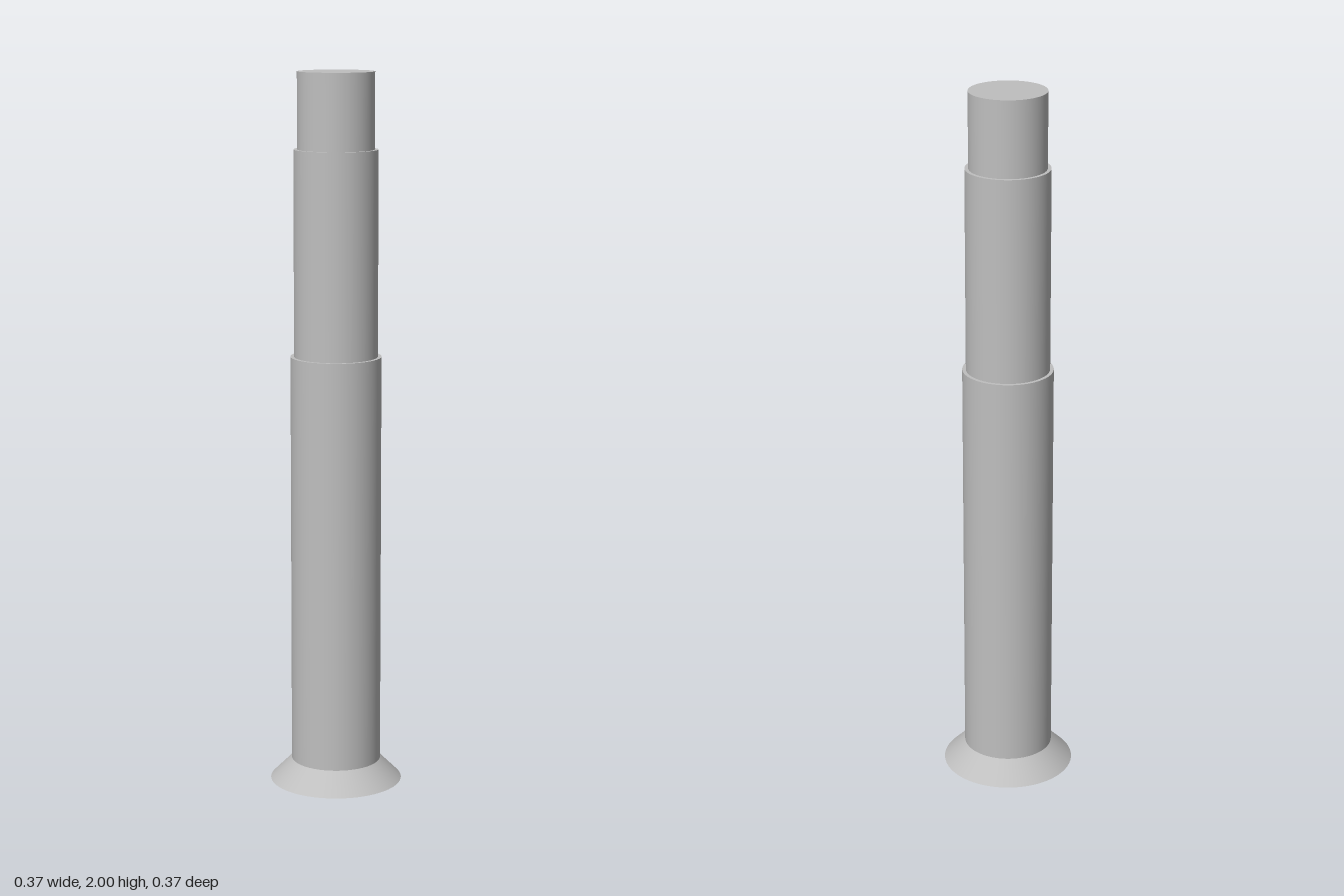
import * as THREE from 'three';

export function createModel() {
  const group = new THREE.Group();
  const steel = new THREE.MeshStandardMaterial({ color: 0xbfbfbf });
  steel.name = 'steel grey';

  const add = (name, geometry) => {
    const mesh = new THREE.Mesh(geometry, steel);
    mesh.name = name;
    group.add(mesh);
  };

  // Each straight profile segment is its own surface, so edges stay crisp
  const profile = [
    ['headCone', 0.186, 0, 0.126, 0.06],
    ['lowerShank', 0.126, 0.06, 0.126, 1.22],
    ['lowerStep', 0.126, 1.22, 0.116, 1.22],
    ['middleShank', 0.116, 1.22, 0.116, 1.79],
    ['upperStep', 0.116, 1.79, 0.106, 1.79],
    ['tipShank', 0.106, 1.79, 0.106, 2],
    ['tipCap', 0.106, 2, 0, 2],
  ];
  for (const [name, r0, y0, r1, y1] of profile) {
    const points = [new THREE.Vector2(r0, y0), new THREE.Vector2(r1, y1)];
    add(name, new THREE.LatheGeometry(points, 96));
  }

  // Underside of the head with a hexagonal opening
  const socketRadius = 0.068, socketDepth = 0.1;
  const disc = new THREE.Shape().absarc(0, 0, 0.186, 0, Math.PI * 2);
  const corners = Array.from({ length: 6 }, (_, i) => {
    const a = (i * Math.PI) / 3;
    return new THREE.Vector2(Math.sin(a) * socketRadius, Math.cos(a) * socketRadius);
  });
  disc.holes.push(new THREE.Path(corners));
  add('headFace', new THREE.ShapeGeometry(disc, 96).rotateX(Math.PI / 2));

  // Hex socket: inward-facing walls and a floor
  const socket = (name, points) => {
    const geometry = new THREE.LatheGeometry(points, 6).toNonIndexed();
    geometry.computeVertexNormals();
    add(name, geometry);
  };
  const inner = new THREE.Vector2(socketRadius, socketDepth);
  socket('socketWalls', [inner, new THREE.Vector2(socketRadius, 0)]);
  socket('socketFloor', [new THREE.Vector2(0, socketDepth), inner]);

  return group;
}
